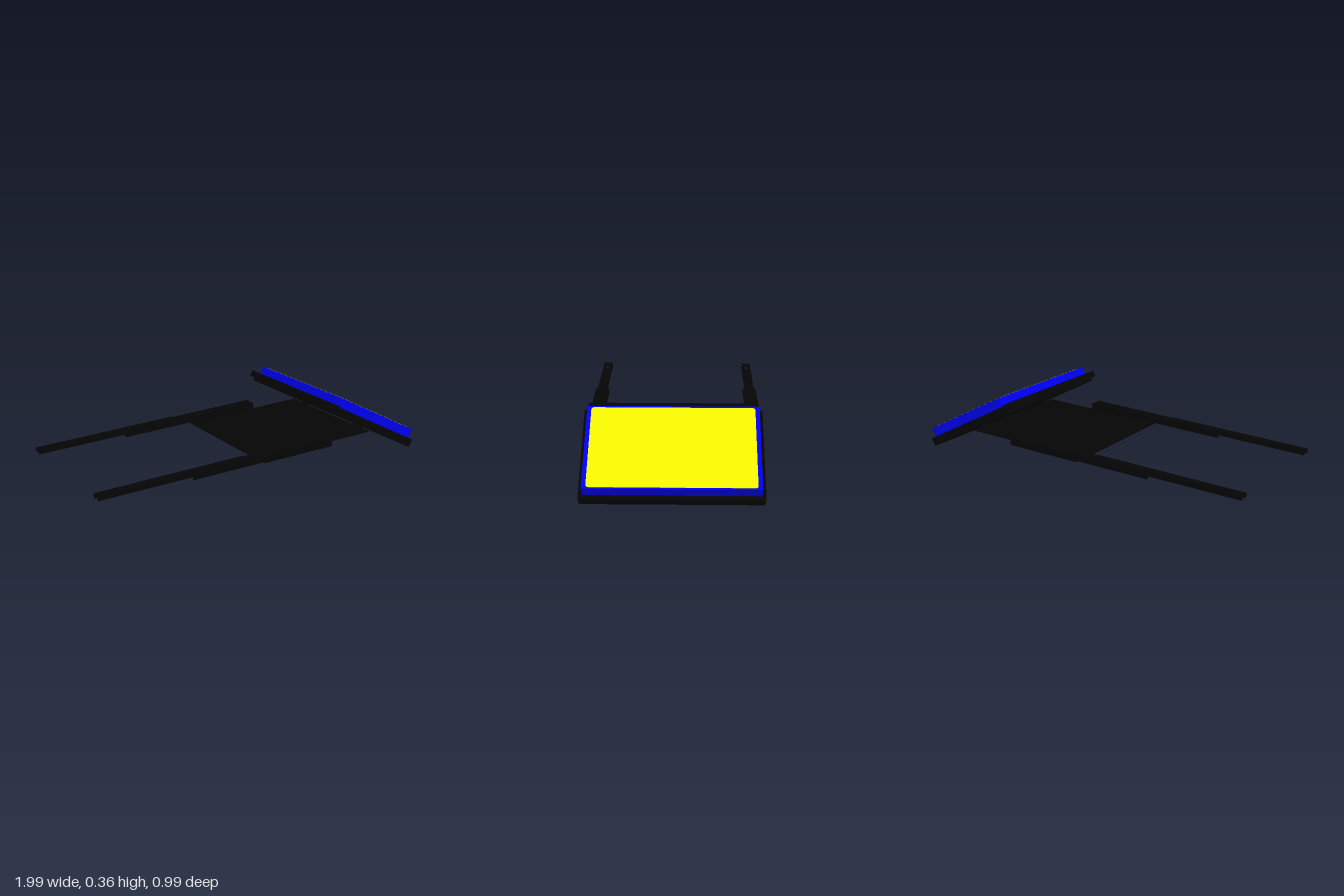
import * as THREE from 'three';
import { RoundedBoxGeometry } from 'three/addons/geometries/RoundedBoxGeometry.js';

const black = new THREE.MeshStandardMaterial({ color: 0x050505 });
const blue = new THREE.MeshStandardMaterial({ color: 0x0000f0 });
const yellow = new THREE.MeshStandardMaterial({ color: 0xf0f000 });

function add(parent, name, geometry, material, x = 0, y = 0, z = 0) {
  const mesh = new THREE.Mesh(geometry, material);
  mesh.name = name;
  mesh.position.set(x, y, z);
  parent.add(mesh);
  return mesh;
}

// Rectangle with rounded corners, centred on the origin
function roundedRect(w, h, r) {
  const s = new THREE.Shape();
  const a = w / 2 - r, b = h / 2 - r;
  s.absarc(a, b, r, 0, Math.PI / 2);
  s.absarc(-a, b, r, Math.PI / 2, Math.PI);
  s.absarc(-a, -b, r, Math.PI, Math.PI * 1.5);
  s.absarc(a, -b, r, Math.PI * 1.5, Math.PI * 2);
  s.closePath();
  return s;
}

// Downward-open channel along x; holes are [x, half length, radius]
function channel(name, x0, x1, width, top, height, wall, holes) {
  const group = new THREE.Group();
  group.name = name;
  const w = width / 2, mid = (x0 + x1) / 2;
  const web = new THREE.Shape([
    new THREE.Vector2(x0, -w), new THREE.Vector2(x1, -w),
    new THREE.Vector2(x1, w), new THREE.Vector2(x0, w),
  ]);
  for (const [x, half, r] of holes) {
    const hole = new THREE.Path();
    hole.absarc(x + half, 0, r, -Math.PI / 2, Math.PI / 2);
    hole.absarc(x - half, 0, r, Math.PI / 2, Math.PI * 1.5);
    hole.closePath();
    web.holes.push(hole);
  }
  const geo = new THREE.ExtrudeGeometry(web, { depth: wall, bevelEnabled: false, curveSegments: 8 });
  geo.rotateX(Math.PI / 2);
  add(group, 'web', geo, black, 0, top, 0);
  for (const s of [-1, 1]) {
    add(group, 'flange', new THREE.BoxGeometry(x1 - x0, height, wall), black,
      mid, top - height / 2, s * (w - wall / 2));
  }
  return group;
}

export function createModel() {
  const model = new THREE.Group();
  model.name = 'slidingScreenTray';

  // Sloping slide rails and the tray between them
  const slide = new THREE.Group();
  slide.name = 'slide';
  slide.position.y = 0.101;
  slide.rotation.z = 0.085;
  model.add(slide);

  for (const s of [-1, 1]) {
    const side = new THREE.Group();
    side.name = s > 0 ? 'frontSlide' : 'backSlide';
    side.position.z = s * 0.456;
    slide.add(side);
    side.add(channel('innerRail', -1.002, -0.12, 0.054, 0.014, 0.028, 0.005, [
      [-0.9, 0.022, 0.008], [-0.84, 0, 0.01],
      [-0.605, 0, 0.009], [-0.57, 0, 0.009], [-0.535, 0, 0.009],
    ]));
    side.add(channel('outerRail', -0.463, 0.412, 0.08, 0.005, 0.032, 0.005, [
      [0.018, 0, 0.006], [0.205, 0, 0.006], [0.265, 0, 0.006],
    ]));
    // Fixed side of the tray with a rounded edge
    add(side, 'traySide', new RoundedBoxGeometry(0.44, 0.042, 0.008, 2, 0.003), black, 0.192, -0.014, s * 0.036);
    add(side, 'trayInnerSide', new THREE.BoxGeometry(0.44, 0.038, 0.005), black, 0.192, -0.015, -s * 0.038);
  }
  add(slide, 'tray', new THREE.BoxGeometry(0.74, 0.006, 0.84), black, 0.342, -0.033, 0);
  for (const z of [-0.3, 0.3]) {
    add(slide, 'hingeBracket', new THREE.BoxGeometry(0.07, 0.012, 0.08), black, 0.69, -0.034, z);
  }

  // Tilted panel: local x runs down the slope, local y is its thickness
  const panel = new THREE.Group();
  panel.name = 'tiltedPanel';
  panel.position.set(0.44, 0.275, 0);
  panel.rotation.z = -0.466;
  model.add(panel);

  const slab = (name, x0, x1, y0, y1, width, r, material) => {
    const geo = new THREE.ExtrudeGeometry(roundedRect(x1 - x0, width, r),
      { depth: y1 - y0, bevelEnabled: false, curveSegments: 6 });
    geo.rotateX(Math.PI / 2);
    return add(panel, name, geo, material, (x0 + x1) / 2, y1, 0);
  };
  slab('backShell', 0, 0.591, 0, 0.048, 0.96, 0.015, black);
  slab('topLip', -0.043, 0.09, 0.018, 0.054, 0.92, 0.006, black);
  slab('screenBody', 0.021, 0.569, 0.047, 0.103, 0.922, 0.008, blue);
  slab('screen', 0.032, 0.56, 0.1, 0.1045, 0.876, 0.015, yellow);

  return model;
}
